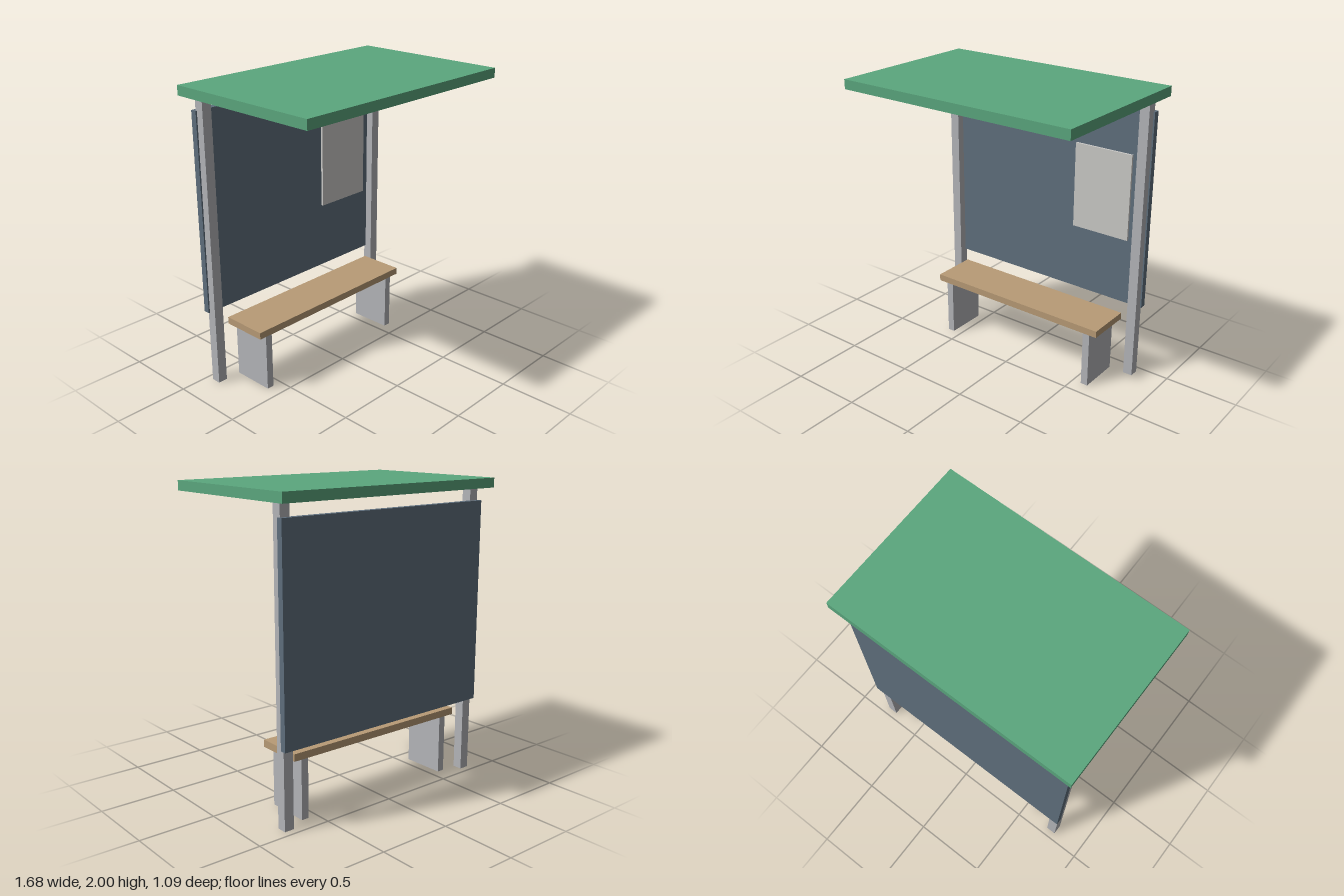
import * as THREE from 'three';

const material = (name, color) => {
  const m = new THREE.MeshStandardMaterial({ color });
  m.name = name;
  return m;
};

export function createModel() {
  const green = material('roofGreen', 0x5ba77e);
  const slate = material('panelSlate', 0x5f6f7d);
  const grey = material('metalGrey', 0xb4b5b9);
  const wood = material('benchWood', 0xb89b76);
  const paper = material('noticePaper', 0xcbcac7);

  const group = new THREE.Group();
  group.name = 'shelter';

  // Box given by its extents along x, y and z
  const box = (name, mat, [x0, x1], [y0, y1], [z0, z1]) => {
    const mesh = new THREE.Mesh(new THREE.BoxGeometry(x1 - x0, y1 - y0, z1 - z0), mat);
    mesh.position.set((x0 + x1) / 2, (y0 + y1) / 2, (z0 + z1) / 2);
    mesh.name = name;
    group.add(mesh);
  };

  // Roof slab, back panel and notice board
  box('roof', green, [-0.84, 0.84], [1.937, 2], [-0.546, 0.546]);
  box('backPanel', slate, [-0.798, 0.798], [0.508, 1.853], [-0.481, -0.439]);
  box('noticeBoard', paper, [0.249, 0.669], [0.967, 1.555], [-0.439, -0.424]);

  // Bench seat
  box('benchSeat', wood, [-0.672, 0.672], [0.398, 0.445], [-0.4, -0.085]);

  // Mirrored posts and bench legs
  for (const [side, s] of [['left', 1], ['right', -1]]) {
    const span = (a, b) => (s > 0 ? [a, b] : [-b, -a]);
    box(side + 'Post', grey, span(0.722, 0.788), [0, 1.937], [-0.452, -0.387]);
    box(side + 'BenchLeg', grey, span(0.563, 0.613), [0, 0.398], [-0.389, -0.098]);
  }
  return group;
}
